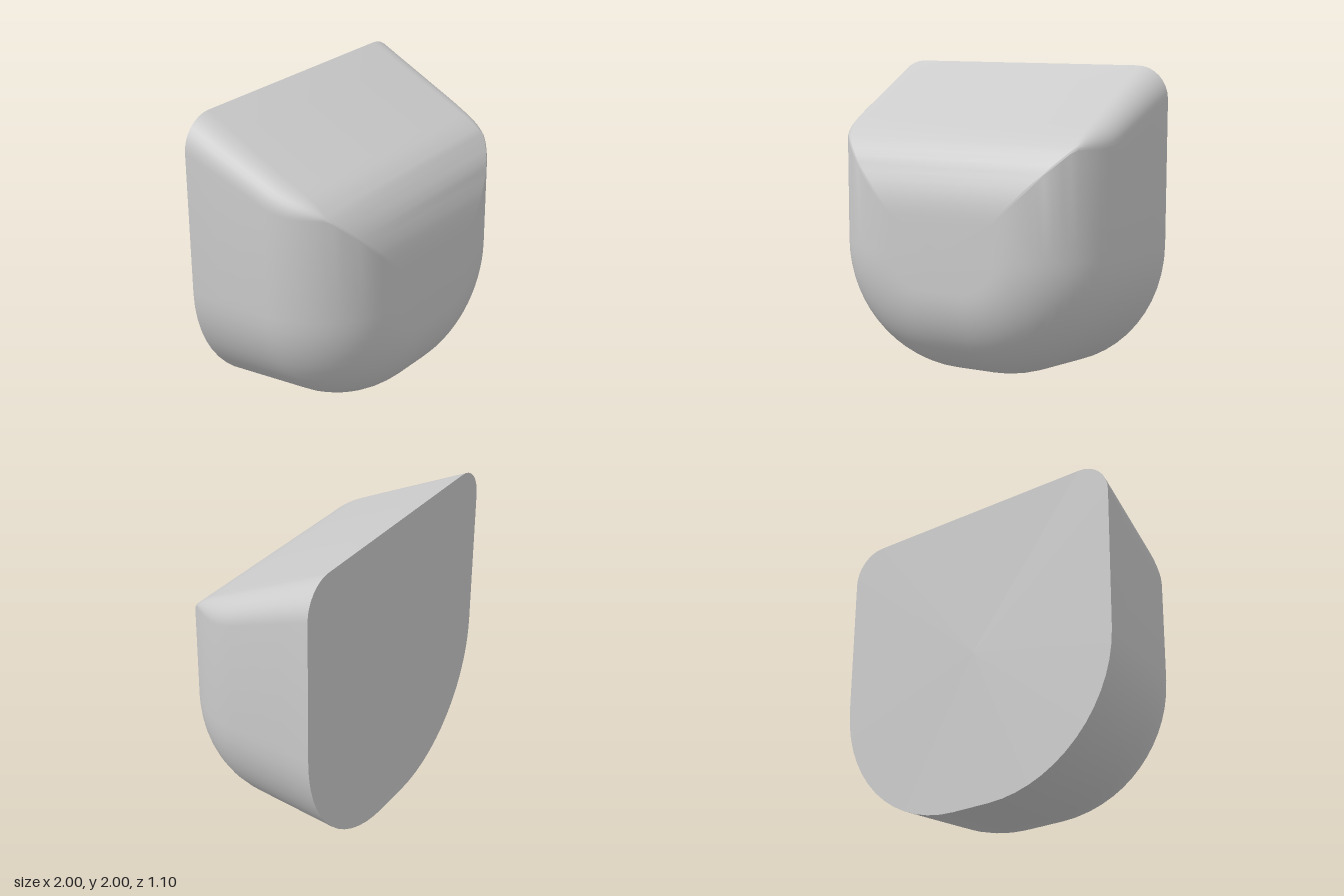
import * as THREE from 'three';
import { toCreasedNormals } from 'three/addons/utils/BufferGeometryUtils.js';

const BACK = -0.553, ROUND = 0.6, ROUND_Z = -0.05;
const rad = THREE.MathUtils.degToRad;

// Reach of a wall at depth z: straight drafted wall, then a tangent front round.
// centre = position of the round's centre, start = reach at the back, draft in degrees.
function reach(z, centre, start, draft) {
  const s = (z - ROUND_Z) / ROUND;
  const tangent = Math.sin(rad(draft));
  if (s >= tangent) return centre + ROUND * Math.sqrt(Math.max(0, 1 - s * s));
  const zt = ROUND_Z + ROUND * tangent;
  const end = centre + ROUND * Math.cos(rad(draft));
  return THREE.MathUtils.mapLinear(z, BACK, zt, start, end);
}

// Rounded outline at depth z, counter-clockwise seen from the front
function section(z) {
  const w = reach(z, 0.355, 1, 5);
  const bottom = -reach(z, -0.65, 0, 5);
  const top = reach(z, 1.105, 2, 25);
  const inset = 1 - w;
  const rb = 0.87 - inset;
  const rt = Math.max(0.21 - inset, 0.012);
  const corners = [
    [w - rb, bottom + rb, rb, -90, 14],
    [w - rt, top - rt, rt, 0, 8],
    [rt - w, top - rt, rt, 90, 8],
    [rb - w, bottom + rb, rb, 180, 14],
  ];
  const ring = [];
  for (const [cx, cy, r, from, steps] of corners) {
    for (let i = 0; i <= steps; i++) {
      const a = rad(from + (90 * i) / steps);
      ring.push([cx + r * Math.cos(a), cy + r * Math.sin(a), z]);
    }
  }
  return ring;
}

export function createModel() {
  const group = new THREE.Group();
  group.name = 'roundedBlock';

  // Depths of the cross-sections: drafted walls, then the front round
  const depths = [BACK, -0.35, -0.17];
  for (let a = 5; a <= 90; a += 5) depths.push(ROUND_Z + ROUND * Math.sin(rad(a)));
  const rings = depths.map(section);
  const n = rings[0].length;
  const positions = rings.flat(2);
  const index = [];

  // Skin between neighbouring sections
  for (let i = 0; i < rings.length - 1; i++) {
    for (let j = 0; j < n; j++) {
      const k = (j + 1) % n;
      const a = i * n + j, b = i * n + k, c = a + n, d = b + n;
      index.push(a, b, d, a, d, c);
    }
  }

  // Flat back and flat front
  const backCentre = rings.length * n, frontCentre = backCentre + 1;
  positions.push(0, 1, BACK, 0, 0.9, depths[depths.length - 1]);
  const last = (rings.length - 1) * n;
  for (let j = 0; j < n; j++) {
    const k = (j + 1) % n;
    index.push(backCentre, k, j, frontCentre, last + j, last + k);
  }

  const geometry = new THREE.BufferGeometry();
  geometry.setAttribute('position', new THREE.Float32BufferAttribute(positions, 3));
  geometry.setIndex(index);
  const body = new THREE.Mesh(
    toCreasedNormals(geometry, rad(40)),
    new THREE.MeshStandardMaterial({ color: 0xcccccc })
  );
  body.name = 'body';
  group.add(body);
  return group;
}
